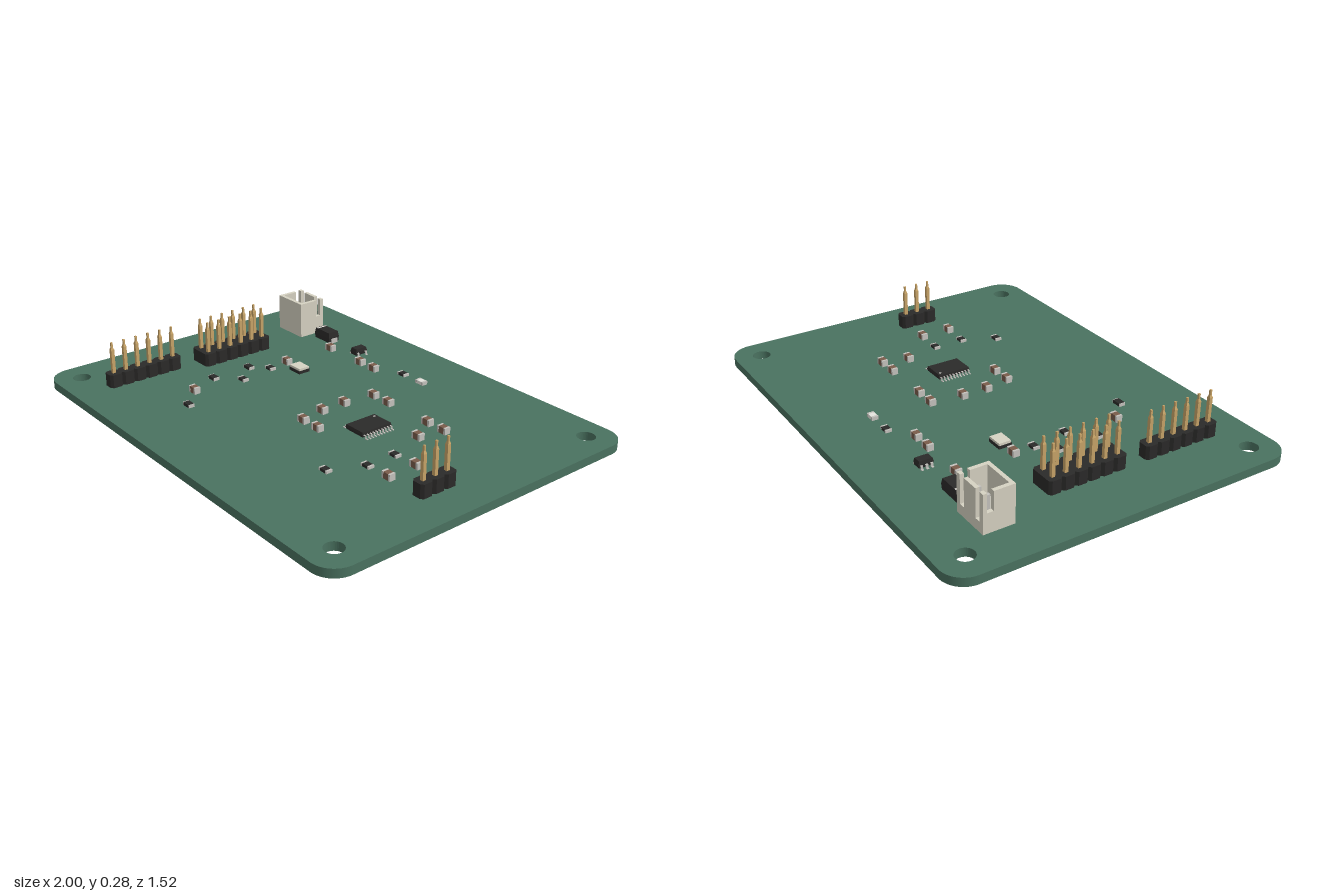
import * as THREE from 'three';

const mat = (name, color) => new THREE.MeshStandardMaterial({ name, color });
const green = mat('board green', 0x4a7260);
const black = mat('plastic black', 0x2b2a29);
const gold = mat('pin gold', 0xc8a468);
const silver = mat('solder silver', 0xc4c2bd);
const beige = mat('connector beige', 0xd6d2c2);
const brown = mat('ceramic brown', 0x7a5c4b);
const white = mat('marking white', 0xe6e4de);

const TOP = 0.081;      // upper face of the board
const BOTTOM = 0.0435;  // lower face of the board
const PITCH = 0.0595;   // header pin spacing

function add(parent, name, geometry, material, x = 0, y = 0, z = 0) {
  const mesh = new THREE.Mesh(geometry, material);
  mesh.name = name;
  mesh.position.set(x, y, z);
  parent.add(mesh);
  return mesh;
}

function group(parent, name, x = 0, y = 0, z = 0) {
  const g = new THREE.Group();
  g.name = name;
  g.position.set(x, y, z);
  parent.add(g);
  return g;
}

// Box given by its lower and upper limits
function span(parent, name, material, x0, x1, y0, y1, z0, z1) {
  return add(parent, name, new THREE.BoxGeometry(x1 - x0, y1 - y0, z1 - z0), material,
    (x0 + x1) / 2, (y0 + y1) / 2, (z0 + z1) / 2);
}

// Box whose ends narrow: bottom and top scale factors
function taperedBox(w, h, d, bottom, top, rows = 2) {
  const g = new THREE.BoxGeometry(w, h, d, 1, rows, 1);
  const p = g.attributes.position;
  for (let i = 0; i < p.count; i++) {
    const y = p.getY(i);
    const s = y > h * 0.4 ? top : y < -h * 0.4 ? bottom : 1;
    p.setXYZ(i, p.getX(i) * s, y, p.getZ(i) * s);
  }
  const flat = g.toNonIndexed();
  flat.computeVertexNormals();
  return flat;
}

// Flat outline in x/z raised along y
function raise(shape, height, curveSegments = 12) {
  const g = new THREE.ExtrudeGeometry(shape, { depth: height, bevelEnabled: false, curveSegments });
  return g.rotateX(-Math.PI / 2);
}

function buildBoard(parent) {
  const w = 1, d = 0.762, r = 0.1;
  const s = new THREE.Shape();
  s.absarc(w - r, d - r, r, 0, Math.PI / 2);
  s.absarc(-w + r, d - r, r, Math.PI / 2, Math.PI);
  s.absarc(-w + r, -d + r, r, Math.PI, Math.PI * 1.5);
  s.absarc(w - r, -d + r, r, Math.PI * 1.5, Math.PI * 2);
  for (const x of [-0.882, 0.882]) for (const z of [-0.646, 0.646]) {
    s.holes.push(new THREE.Path().absarc(x, z, 0.039, 0, Math.PI * 2, true));
  }
  add(parent, 'circuitBoard', raise(s, TOP - BOTTOM, 20), green, 0, BOTTOM, 0);
}

// Pin header: notched black strip with square pins running through the board
function buildHeader(parent, name, x, z, cols, rows) {
  const g = group(parent, name, x, 0, z);
  const hw = cols * PITCH / 2, hd = rows * PITCH / 2, c = 0.011;
  const right = [];
  for (let i = 0; i < rows; i++) {
    const a = -hd + i * PITCH, b = a + PITCH;
    right.push([hw - c, a], [hw, a + c], [hw, b - c]);
  }
  right.push([hw - c, hd]);
  const left = right.map(([px, pz]) => [-px, -pz]);
  const outline = [...right, ...left].map(([px, pz]) => new THREE.Vector2(px, pz));
  add(g, 'headerBody', raise(new THREE.Shape(outline), 0.0595), black, 0, TOP, 0);
  const pin = taperedBox(0.0152, 0.265, 0.0152, 0.55, 0.55, 24);
  for (let i = 0; i < cols; i++) for (let j = 0; j < rows; j++) {
    add(g, 'headerPin', pin, gold, (i - (cols - 1) / 2) * PITCH, 0.1485, (j - (rows - 1) / 2) * PITCH);
  }
}

// Open-topped power socket with slotted walls and two pins
function buildSocket(parent) {
  const g = group(parent, 'powerSocket');
  const x0 = -0.822, x1 = -0.65, z0 = -0.538, z1 = -0.404, h = 0.247, t = 0.017;
  span(g, 'socketFloor', beige, x0 + t, x1 - t, TOP, 0.125, z0 + t, z1 - t);
  span(g, 'socketFrontWall', beige, x0, x1, TOP, h, z1 - t, z1);
  // side walls, each with a slot near the back
  for (const x of [x0, x1 - t]) {
    span(g, 'socketSideWall', beige, x, x + t, TOP, h, -0.494, z1 - t);
    span(g, 'socketSideSill', beige, x, x + t, TOP, 0.166, z0 + t, -0.494);
  }
  // back wall with two tall slots
  span(g, 'socketBackSill', beige, x0, x1, TOP, 0.125, z0, z0 + t);
  span(g, 'socketBackPanel', beige, -0.774, -0.698, 0.125, h, z0, z0 + t);
  span(g, 'socketBackPost', beige, x0, x0 + 0.022, 0.125, h, z0, z0 + t);
  span(g, 'socketBackPost', beige, x1 - 0.022, x1, 0.125, h, z0, z0 + t);
  for (const x of [-0.765, -0.707]) {
    span(g, 'socketPin', silver, x - 0.0075, x + 0.0075, 0.03, 0.2, -0.491, -0.476);
    const tip = add(g, 'socketPinTip', taperedBox(0.015, 0.034, 0.015, 0.6, 1), silver, x, 0.017, -0.4815);
    tip.rotation.x = 0.12;
  }
}

// Two-ended chip: body with a metal cap on each end
function buildChip(parent, name, x, z, material, h, cap = 0.01) {
  const g = group(parent, name, x, TOP, z);
  const w = 0.046, d = 0.029;
  add(g, 'chipBody', new THREE.BoxGeometry(w - cap * 2, h * 0.97, d * 0.98), material, 0, h / 2, 0);
  for (const s of [-1, 1]) {
    add(g, 'chipEnd', new THREE.BoxGeometry(cap, h, d), silver, s * (w - cap) / 2, h / 2, 0);
  }
}

// Bent leads on both long sides of a package
function buildLeads(g, xIn, xOut, zs, width, height) {
  for (const s of [-1, 1]) for (const z of zs(s)) {
    const knee = (xIn + xOut) / 2;
    const bar = (a, b, y0, y1) => span(g, 'lead', silver, Math.min(s * a, s * b), Math.max(s * a, s * b),
      y0, y1, z - width / 2, z + width / 2);
    bar(xIn - 0.004, knee, height - 0.003, height);
    bar(knee - 0.003, knee, 0.003, height);
    bar(knee - 0.003, xOut, 0, 0.003);
  }
}

function buildPackages(parent) {
  // main controller with ten leads a side
  const ic = group(parent, 'controllerChip', 0.292, TOP, -0.016);
  add(ic, 'controllerBody', taperedBox(0.104, 0.021, 0.154, 0.96, 0.96), black, 0, 0.0135, 0);
  add(ic, 'pinOneDot', new THREE.CylinderGeometry(0.005, 0.005, 0.001, 12), white, -0.034, 0.0243, -0.06);
  buildLeads(ic, 0.052, 0.075, () => Array.from({ length: 10 }, (_, i) => (i - 4.5) * 0.0152), 0.006, 0.014);

  // small regulator
  const reg = group(parent, 'regulator', -0.321, TOP, -0.487);
  add(reg, 'regulatorBody', taperedBox(0.04, 0.03, 0.066, 0.92, 0.88), black, 0, 0.019, 0);
  buildLeads(reg, 0.02, 0.034, s => (s < 0 ? [-0.022, 0, 0.022] : [-0.022, 0.022]), 0.01, 0.017);

  // power diode with cathode stripe
  const diode = group(parent, 'powerDiode', -0.554, TOP, -0.485);
  add(diode, 'diodeBody', taperedBox(0.108, 0.048, 0.06, 0.95, 0.9), black, 0, 0.027, 0);
  add(diode, 'diodeStripe', new THREE.BoxGeometry(0.009, 0.001, 0.053), white, -0.039, 0.0513, 0);
  for (const s of [-1, 1]) {
    add(diode, 'diodeLead', new THREE.BoxGeometry(0.026, 0.022, 0.034), silver, s * 0.045, 0.011, 0);
  }

  // crystal
  const xtal = group(parent, 'crystal', -0.343, TOP, -0.156);
  add(xtal, 'crystalBase', new THREE.BoxGeometry(0.074, 0.014, 0.059), black, 0, 0.007, 0);
  add(xtal, 'crystalLid', new THREE.BoxGeometry(0.07, 0.01, 0.055), beige, 0, 0.019, 0);
}

export function createModel() {
  const model = new THREE.Group();
  model.name = 'circuitBoardAssembly';
  buildBoard(model);
  buildHeader(model, 'doubleHeader', -0.69, -0.028, 2, 6);
  buildHeader(model, 'sideHeader', -0.72, 0.423, 1, 6);
  buildHeader(model, 'shortHeader', 0.81, 0.118, 1, 3);
  buildSocket(model);
  buildPackages(model);

  const capacitors = [[-0.438, -0.414], [-0.225, -0.414], [-0.134, -0.414], [0.08, -0.227], [0.174, -0.227],
    [0.412, -0.227], [0.505, -0.227], [0.481, -0.11], [-0.438, -0.158], [0.058, -0.083], [0.058, 0.035],
    [0.082, 0.152], [0.174, 0.152], [0.647, 0.056], [0.647, 0.195], [-0.438, 0.34]];
  for (const [x, z] of capacitors) buildChip(model, 'capacitor', x, z, brown, 0.029);

  const resistors = [[-0.013, -0.484], [-0.436, -0.062], [-0.412, 0.104], [0.529, 0.056], [0.529, 0.195], [0.457, 0.34]];
  for (const [x, z] of resistors) buildChip(model, 'resistor', x, z, black, 0.012, 0.008);

  const smallDiodes = [[-0.503, 0.008], [-0.503, 0.198], [-0.34, 0.433]];
  for (const [x, z] of smallDiodes) buildChip(model, 'smallDiode', x, z, black, 0.014, 0.003);

  buildChip(model, 'indicatorLight', 0.104, -0.484, white, 0.016, 0.01);
  return model;
}
